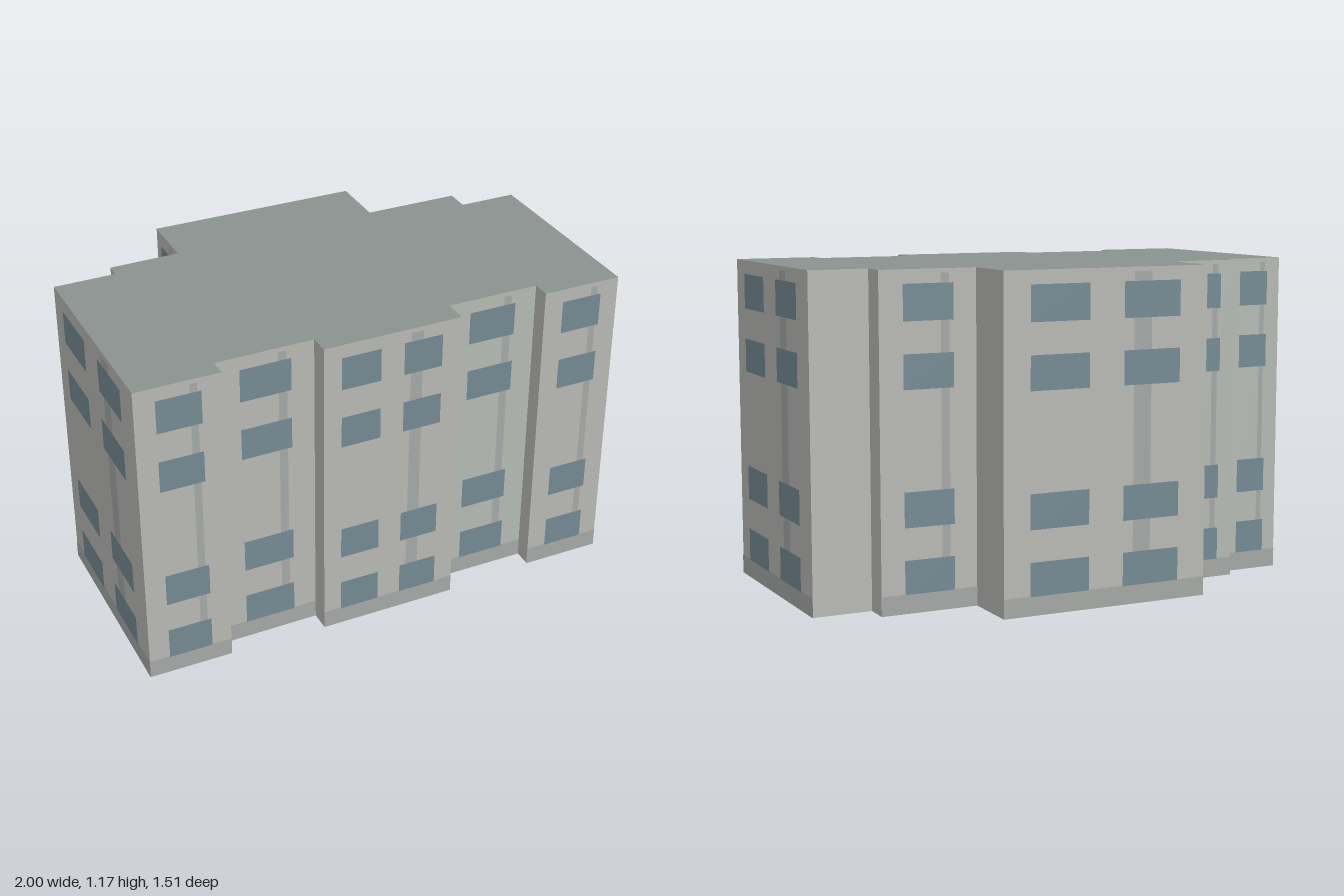
import * as THREE from 'three';

const HEIGHT = 1.17;

// Footprint corners [x, z, window columns on the wall that starts here, alternate tint],
// running along the front from left to right, then round the back
const PLAN = [
  [-1, 0.043, 1, 0], [-0.715, 0.165, 0, 0], [-0.69, 0.105, 1, 0], [-0.355, 0.245, 0, 0],
  [-0.385, 0.315, 2, 0], [0.095, 0.52, 0, 0], [0.13, 0.438, 1, 1], [0.45, 0.575, 0, 0],
  [0.422, 0.637, 1, 0], [0.697, 0.755, 2, 0], [1, 0.057, 0, 0], [0.803, -0.027, 0, 0],
  [0.84, -0.11, 1, 0], [0.513, -0.25, 0, 0], [0.6, -0.447, 2, 0], [-0.122, -0.757, 1, 0],
  [-0.212, -0.552, 1, 1], [-0.452, -0.652, 0, 0], [-0.475, -0.603, 1, 1], [-0.685, -0.692, 2, 0],
];

// Window rows [bottom, top] and columns [start, end] as fractions of the wall width
const ROWS = [[0.067, 0.185], [0.297, 0.42], [0.767, 0.887], [0.997, 1.122]];
const COLUMNS = { 1: [[0.24, 0.76]], 2: [[0.125, 0.41], [0.58, 0.86]] };

const material = (color, side = THREE.FrontSide) => new THREE.MeshStandardMaterial({ color, side });

export function createModel() {
  const building = new THREE.Group();
  building.name = 'apartmentBlock';

  const wallMaterials = [material(0xb8b8b4, THREE.DoubleSide), material(0xb4bab4, THREE.DoubleSide)];
  const plinthMaterial = material(0xa5a8a6);
  const stripMaterial = material(0xa4a8a7);
  const glassMaterial = material(0x748a93);

  // Upright rectangle on a wall, from (x0, y0) to (x1, y1), lifted off by depth
  const panel = (parent, name, mat, x0, x1, y0, y1, depth) => {
    const mesh = new THREE.Mesh(new THREE.PlaneGeometry(x1 - x0, y1 - y0), mat);
    mesh.position.set((x0 + x1) / 2, (y0 + y1) / 2, depth);
    mesh.name = name;
    parent.add(mesh);
  };

  PLAN.forEach(([x, z, columns, tint], i) => {
    const [nx, nz] = PLAN[(i + 1) % PLAN.length];
    const width = Math.hypot(nx - x, nz - z);

    // Each facade has local x along the wall and local z pointing outwards
    const facade = new THREE.Group();
    facade.name = columns ? 'windowFacade' : 'plainFacade';
    facade.position.set(x, 0, z);
    facade.rotation.y = Math.atan2(z - nz, nx - x);
    building.add(facade);

    panel(facade, 'wall', wallMaterials[tint], 0, width, 0, HEIGHT, 0);
    if (!columns) return;

    panel(facade, 'plinth', plinthMaterial, 0, width, 0, 0.068, 0.0015);
    panel(facade, 'verticalStrip', stripMaterial, width * 0.63, width * 0.717, 0.068, 1.155, 0.0025);
    for (const [start, end] of COLUMNS[columns]) {
      for (const [bottom, top] of ROWS) {
        panel(facade, 'window', glassMaterial, width * start, width * end, bottom, top, 0.004);
      }
    }
  });

  // Flat roof; the underside of the block is open
  const outline = new THREE.Shape(PLAN.map(([x, z]) => new THREE.Vector2(x, -z)));
  const roof = new THREE.Mesh(
    new THREE.ShapeGeometry(outline).rotateX(-Math.PI / 2),
    material(0x8a918e, THREE.DoubleSide)
  );
  roof.position.y = HEIGHT;
  roof.name = 'roof';
  building.add(roof);

  return building;
}
